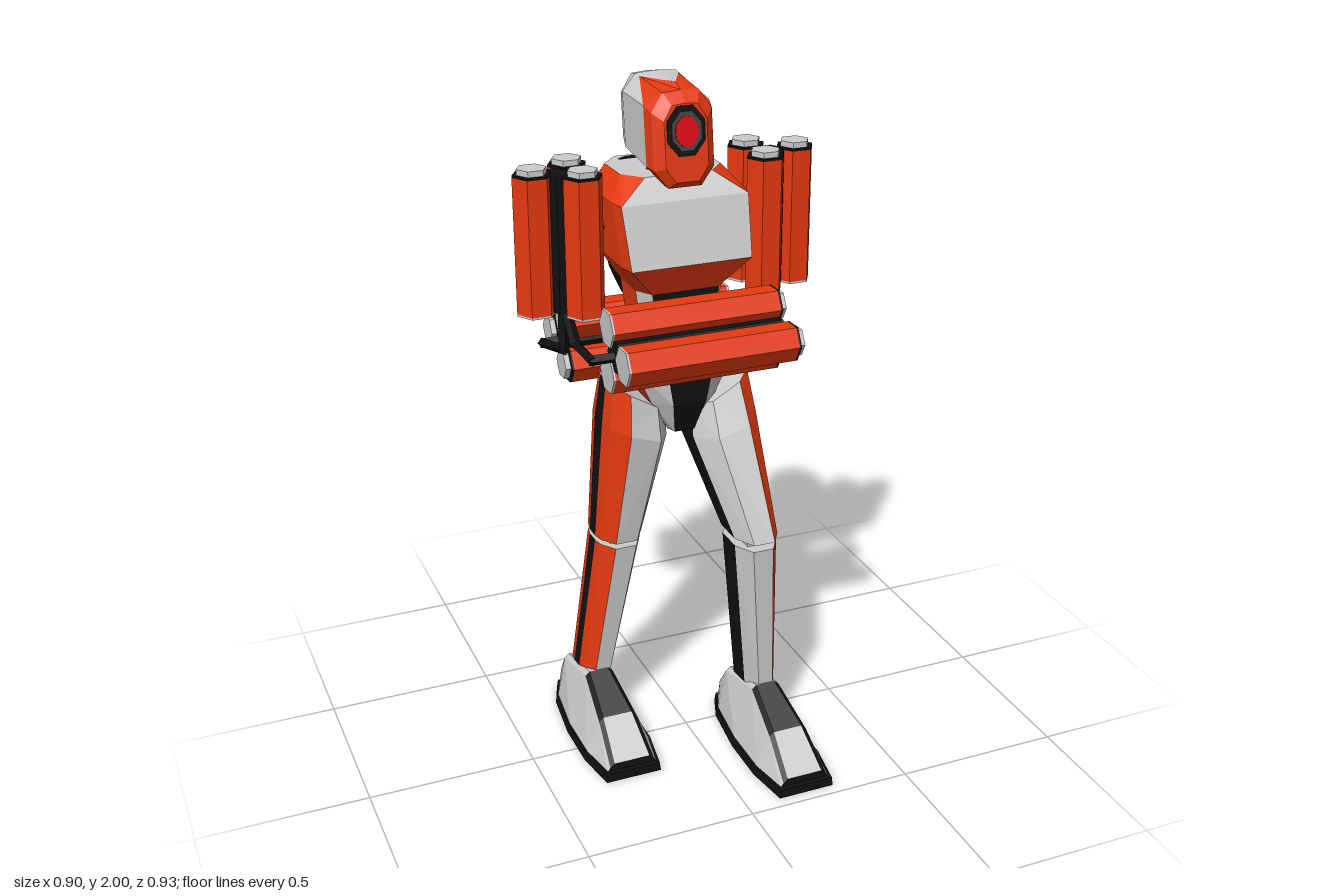
import * as THREE from 'three';

const ORANGE = 0xe63a10, BLACK = 0x111111, GREY = 0xcccccc, DARK = 0x444444, RED = 0xe00c14;
const mats = {};
const mat = (c) => (mats[c] ??= new THREE.MeshStandardMaterial({ color: c, flatShading: true }));

function mesh(name, geo, color, parent) {
  const m = new THREE.Mesh(geo, mat(color));
  m.name = name;
  parent.add(m);
  return m;
}

// Skins a stack of equal-length rings; colorOf(level, segment) picks panel colours.
function loft(name, rings, colorOf, caps, parent) {
  const byColor = {};
  let volume = 0;
  const tri = (c, a, b, d) => {
    const [A, B, D] = [a, b, d].map((p) => new THREE.Vector3(...p));
    volume += A.dot(B.cross(D));
    (byColor[c] ??= []).push([a, b, d]);
  };
  const n = rings[0].length;
  for (let l = 0; l < rings.length - 1; l++)
    for (let i = 0; i < n; i++) {
      const j = (i + 1) % n, c = colorOf(l, i), r = rings[l], s = rings[l + 1];
      tri(c, r[i], r[j], s[j]);
      tri(c, r[i], s[j], s[i]);
    }
  const first = rings[0], last = rings[rings.length - 1];
  for (let i = 1; i < n - 1; i++) {
    tri(caps[0], first[0], first[i + 1], first[i]);
    tri(caps[1], last[0], last[i], last[i + 1]);
  }
  const g = new THREE.Group();
  g.name = name;
  for (const c in byColor) {
    const pts = byColor[c].flatMap((t) => (volume < 0 ? [t[0], t[2], t[1]] : t)).flat();
    const geo = new THREE.BufferGeometry();
    geo.setAttribute('position', new THREE.Float32BufferAttribute(pts, 3));
    geo.computeVertexNormals();
    mesh(name + 'Panel', geo, Number(c), g);
  }
  parent.add(g);
  return g;
}

// Horizontal chamfered section: segments 1/5 sides, 3 front, 7 back, even ones bevels.
const section = (y, w, zf, zb, cx, cz) => [
  [w - cx, zb], [w, zb + cz], [w, zf - cz], [w - cx, zf],
  [cx - w, zf], [-w, zf - cz], [-w, zb + cz], [cx - w, zb]].map(([x, z]) => [x, y, z]);

// Square rod from a to b
function strut(a, b, parent) {
  const A = new THREE.Vector3(...a), B = new THREE.Vector3(...b), d = B.clone().sub(A);
  const m = mesh('bracketRod', new THREE.CylinderGeometry(0.015, 0.015, d.length() + 0.015, 4, 1), BLACK, parent);
  m.position.copy(A).add(B).multiplyScalar(0.5);
  m.quaternion.setFromUnitVectors(new THREE.Vector3(0, 1, 0), d.normalize());
}

// Bundle of three hexagonal tubes along local y, the outer tube at local +x
function tubeBundle(name, len, xDir, yDir, pos, parent) {
  const g = new THREE.Group();
  g.name = name;
  const hex = (r, h) => new THREE.CylinderGeometry(r, r, h, 6, 1, false, Math.PI / 6);
  for (const [x, z] of [[0.08, 0], [-0.042, 0.067], [-0.042, -0.067]]) {
    const add = (part, r, h, y, c) => mesh(part, hex(r, h), c, g).position.set(x, y, z);
    add('tube', 0.056, len - 0.012, len / 2, ORANGE);
    add('tubeBase', 0.056, 0.006, 0.003, GREY);
    add('tubeRim', 0.056, 0.006, len - 0.003, BLACK);
    add('tubeCap', 0.043, 0.016, len + 0.008, GREY);
  }
  mesh('bundleCore', hex(0.05, len - 0.01), BLACK, g).position.y = len / 2;
  const X = new THREE.Vector3(...xDir), Y = new THREE.Vector3(...yDir);
  g.quaternion.setFromRotationMatrix(new THREE.Matrix4().makeBasis(X, Y, X.clone().cross(Y)));
  g.position.set(...pos);
  parent.add(g);
}

// Leg section [y, centre x, half width, centre z, half depth, outer-edge rise]
const LEG = [[0.45, 1], [0.9, 0.55], [1, 0.22], [1, -0.25], [0.9, -0.6], [0.45, -1], [-0.5, -1], [-1, -0.5], [-1, 0.4], [-0.5, 1]];
const LEG_COLORS = [ORANGE, ORANGE, BLACK, ORANGE, ORANGE, GREY, GREY, BLACK, GREY, GREY];
function legPart(name, side, rows, parent) {
  const rings = rows.map(([y, cx, hw, cz, hd, rise = 0]) =>
    LEG.map(([s, f]) => [side * (cx + s * hw), y + rise * s, cz + f * hd]));
  loft(name, rings, (l, i) => LEG_COLORS[i], [GREY, GREY], parent);
}

// Foot with black sole and black ridges beside the instep
function foot(x, z0, parent) {
  const g = new THREE.Group();
  g.name = 'foot';
  const rows = [[-0.07, 0.05, 0.03, 0.09], [0, 0.08, 0.04, 0.17], [0.17, 0.1, 0.03, 0.2], [0.33, 0.1, 0.045, 0.135], [0.45, 0.078, 0.055, 0.05]];
  loft('footShell', rows.map(([z, w, t, h]) => [[-w, 0.025], [w, 0.025], [t + 0.014, h - 0.012], [t, h], [-t, h], [-t - 0.014, h - 0.012]]
    .map(([px, py]) => [px, py, z])),
  (l, i) => (l > 1 && (i === 2 || i === 4) ? BLACK : l === 2 && i === 3 ? DARK : GREY), [GREY, BLACK], g);
  loft('sole', rows.map(([z, w]) => [[-w - 0.008, 0], [w + 0.008, 0], [w + 0.004, 0.028], [-w - 0.004, 0.028]]
    .map(([px, py]) => [px, py, z + (z > 0.4 ? 0.015 : z < 0 ? -0.01 : 0)])), () => BLACK, [BLACK, BLACK], g);
  g.position.set(x, 0, z0);
  parent.add(g);
}

function buildHead(parent) {
  const g = new THREE.Group();
  g.name = 'head';
  // Section across z; the two top corners can be pulled back by "spike"
  const ring = (z, w, y0, y1, c, spike = 0) => {
    const half = [[0.55 * w, y0, 0], [w, y0 + c, 0], [w, y1 - c, 0], [0.6 * w, y1, spike]];
    const all = [...half, [0, y1 + 0.004, 0], ...half.map(([x, y, s]) => [-x, y, s]).reverse()];
    return all.map(([x, y, s]) => [x, y, z - s - 0.12 * (y - 1.85)]);
  };
  const seam = ring(-0.055, 0.096, 1.73, 1.993, 0.05, 0.12);
  loft('faceShell', [ring(0.005, 0.062, 1.745, 1.95, 0.04), ring(-0.02, 0.088, 1.725, 1.98, 0.05), seam], () => ORANGE, [ORANGE, ORANGE], g);
  loft('skullShell', [seam, ring(-0.2, 0.1, 1.755, 1.996, 0.045), ring(-0.255, 0.085, 1.765, 1.985, 0.05), ring(-0.285, 0.06, 1.78, 1.95, 0.04)], () => GREY, [GREY, GREY], g);
  // Eye
  for (const [name, r, z, c] of [['eyeRim', 0.06, 0.0, BLACK], ['eyeSocket', 0.046, 0.003, DARK], ['eyeLens', 0.035, 0.006, RED]]) {
    const geo = new THREE.CylinderGeometry(r, r, 0.02, 8, 1, false, Math.PI / 8).rotateX(Math.PI / 2).scale(1, 1.22, 1);
    const m = mesh(name, geo, c, g);
    m.position.set(0, 1.88, z - 0.006);
    m.rotation.x = -0.12;
  }
  mesh('headPad', new THREE.BoxGeometry(0.08, 0.15, 0.03), BLACK, g).position.set(0, 1.86, -0.285);
  mesh('neck', new THREE.CylinderGeometry(0.06, 0.075, 0.14, 8), DARK, g).position.set(0, 1.72, -0.13);
  parent.add(g);
}

export function createModel() {
  const model = new THREE.Group();
  model.name = 'robot';
  buildHead(model);

  // Torso with grey chest plate, waist and collar
  loft('torso', [
    section(1.18, 0.1, 0.0, -0.21, 0.04, 0.05),
    section(1.43, 0.13, 0.0, -0.22, 0.03, 0.05),
    section(1.52, 0.188, 0.05, -0.24, 0.01, 0.05),
    section(1.69, 0.197, 0.0, -0.27, 0.01, 0.05),
    section(1.75, 0.15, -0.05, -0.29, 0.05, 0.06)],
  (l, i) => {
    if (l === 0) return [BLACK, ORANGE, GREY, BLACK, GREY, ORANGE, BLACK, BLACK][i];
    if (l === 2 && i === 3) return GREY;
    if (l === 3 && i === 3) return GREY;
    return i === 0 || i >= 6 ? GREY : ORANGE;
  }, [BLACK, GREY], model);

  // Backpack
  loft('backpack', [
    section(1.34, 0.08, -0.18, -0.33, 0.03, 0.03),
    section(1.42, 0.115, -0.18, -0.345, 0.04, 0.04),
    section(1.58, 0.15, -0.2, -0.358, 0.05, 0.05),
    section(1.67, 0.145, -0.2, -0.355, 0.05, 0.05),
    section(1.75, 0.1, -0.2, -0.28, 0.03, 0.02)], () => BLACK, [BLACK, BLACK], model);

  // Pelvis
  loft('pelvis', [
    section(1.0, 0.04, -0.01, -0.17, 0.01, 0.03),
    section(1.1, 0.1, 0.03, -0.21, 0.05, 0.05),
    section(1.21, 0.15, 0.035, -0.21, 0.08, 0.05)],
  (l, i) => [BLACK, ORANGE, GREY, BLACK, GREY, ORANGE, BLACK, BLACK][i], [BLACK, GREY], model);

  // Legs: the left one strides forward
  legPart('leftThigh', 1, [[1.11, 0.125, 0.088, -0.08, 0.09, 0.05], [1.0, 0.13, 0.1, -0.068, 0.13, 0.03], [0.695, 0.167, 0.068, 0.09, 0.108]], model);
  legPart('leftShin', 1, [[0.67, 0.167, 0.066, 0.09, 0.1], [0.17, 0.195, 0.047, 0.077, 0.09]], model);
  legPart('rightThigh', -1, [[1.11, 0.125, 0.085, -0.11, 0.1, 0.05], [1.0, 0.128, 0.095, -0.12, 0.13, 0.03], [0.65, 0.172, 0.07, -0.145, 0.1]], model);
  legPart('rightShin', -1, [[0.635, 0.174, 0.068, -0.145, 0.1], [0.17, 0.24, 0.05, -0.19, 0.09]], model);
  for (const [name, x, y, z] of [['leftKnee', 0.167, 0.68, 0.09], ['rightKnee', -0.173, 0.64, -0.145]])
    mesh(name, new THREE.BoxGeometry(0.07, 0.08, 0.12), GREY, model).position.set(x, y, z);
  foot(0.19, 0, model);
  foot(-0.25, -0.265, model);

  // Tube bundles: upright at both shoulders, lying in front and behind the waist
  tubeBundle('leftShoulderTubes', 0.4, [1, 0, 0], [0, 1, 0], [0.312, 1.37, -0.138], model);
  tubeBundle('rightShoulderTubes', 0.4, [-1, 0, 0], [0, 1, 0], [-0.312, 1.37, -0.138], model);
  tubeBundle('frontTubes', 0.505, [0, 0, 1], [1, 0, 0], [-0.26, 1.31, 0.105], model);
  tubeBundle('rearTubes', 0.505, [0, 0, -1], [-1, 0, 0], [0.245, 1.21, -0.33], model);

  // Brackets joining the bundles and the torso
  const paths = [[[-0.315, 1.37, -0.1], [-0.32, 1.31, -0.02], [-0.32, 1.31, 0.11], [-0.25, 1.31, 0.11]]];
  for (const s of [1, -1]) {
    paths.push([[s * 0.315, 1.38, -0.14], [s * 0.315, 1.25, -0.14], [s * 0.315, 1.2, -0.335], [s * 0.24, 1.2, -0.335]]);
    paths.push([[s * 0.3, 1.6, -0.138], [s * 0.17, 1.6, -0.138]]);
  }
  for (const p of paths) for (let i = 0; i < p.length - 1; i++) strut(p[i], p[i + 1], model);
  return model;
}
